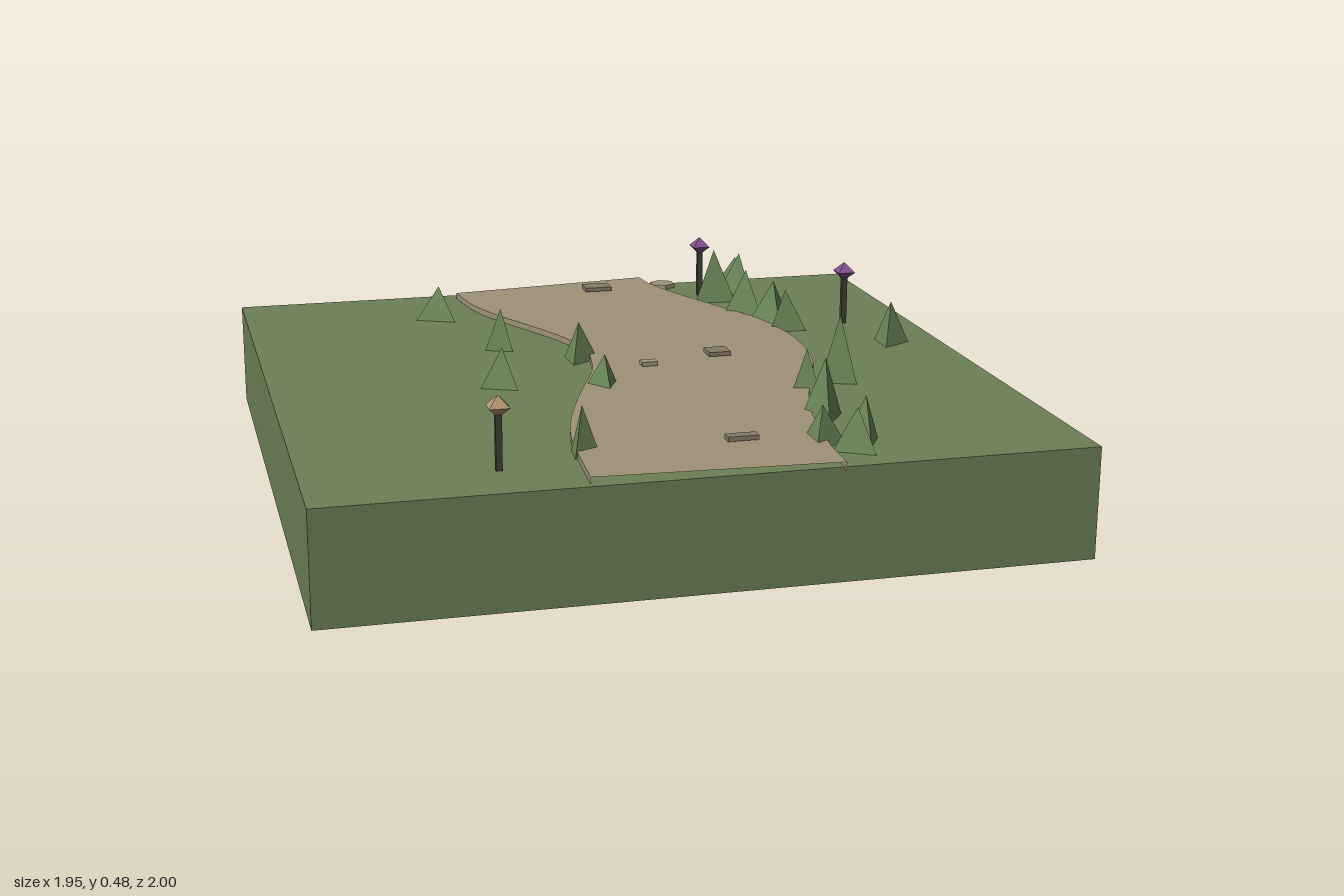
import * as THREE from 'three';

const paint = (name, color, extra = {}) => {
  const m = new THREE.MeshStandardMaterial({ color, flatShading: true, ...extra });
  m.name = name;
  return m;
};

const GROUND = 0.294, ROAD = 0.311;

export function createModel() {
  const model = new THREE.Group();
  model.name = 'pathTile';

  const grass = paint('grass green', 0x6b8056, { side: THREE.DoubleSide });
  const leaf = paint('tree green', 0x6b8758);
  const dirt = paint('path tan', 0xa09278, { side: THREE.DoubleSide });
  const stone = paint('stone brown', 0x857a66);
  const postDark = paint('post dark', 0x3c4030);
  const violet = paint('lamp violet', 0x80508c);
  const amber = paint('lamp amber', 0xae9270);

  const add = (parent, name, geometry, material, x = 0, y = 0, z = 0) => {
    const mesh = new THREE.Mesh(geometry, material);
    mesh.name = name;
    mesh.position.set(x, y, z);
    parent.add(mesh);
    return mesh;
  };

  // Ground block, open underneath
  const block = new THREE.BoxGeometry(1.946, GROUND, 1.952);
  const faces = Array.from(block.index.array);
  faces.splice(18, 6);
  block.setIndex(faces);
  block.clearGroups();
  add(model, 'ground', block, grass, -0.003, GROUND / 2, 0.009);

  // Winding path: flat ribbon with a thin skirt along both sides
  const edge = (points) => new THREE.CatmullRomCurve3(points.map(([x, z]) => new THREE.Vector3(x, ROAD, z)));
  const left = edge([[-0.31, -0.925], [-0.29, -0.765], [-0.24, -0.617], [-0.155, -0.437], [-0.1, -0.305],
    [-0.07, -0.17], [-0.08, -0.04], [-0.107, 0.08], [-0.155, 0.2], [-0.2, 0.32], [-0.26, 0.505],
    [-0.29, 0.64], [-0.305, 0.8], [-0.315, 0.967]]);
  const right = edge([[0.303, -1], [0.31, -0.925], [0.35, -0.79], [0.41, -0.64], [0.46, -0.525], [0.515, -0.395],
    [0.545, -0.235], [0.55, -0.13], [0.54, 0], [0.52, 0.11], [0.475, 0.23], [0.41, 0.4], [0.36, 0.56],
    [0.33, 0.72], [0.308, 0.875], [0.303, 1]]);
  const steps = 28, positions = [], index = [];
  for (let i = 0; i <= steps; i++) {
    const a = left.getPoint(i / steps), b = right.getPoint(i / steps);
    positions.push(a.x, 0.288, a.z, a.x, ROAD, a.z, b.x, ROAD, b.z, b.x, 0.288, b.z);
    if (i === steps) break;
    for (let k = 0; k < 3; k++) {
      const p = i * 4 + k;
      index.push(p, p + 4, p + 1, p + 1, p + 4, p + 5);
    }
  }
  const ribbon = new THREE.BufferGeometry();
  ribbon.setAttribute('position', new THREE.Float32BufferAttribute(positions, 3));
  ribbon.setIndex(index);
  const path = ribbon.toNonIndexed();
  path.computeVertexNormals();
  add(model, 'path', path, dirt);

  // Flat stones on the path: x, z, width, depth
  const slabs = [[0.127, -0.855, 0.083, 0.06], [0.277, -0.013, 0.063, 0.06],
    [0.06, 0.058, 0.045, 0.03], [0.11, 0.777, 0.08, 0.031]];
  slabs.forEach(([x, z, w, d], i) =>
    add(model, 'slab', new THREE.BoxGeometry(w, 0.012, d), i === 2 ? dirt : stone, x, 0.321, z));
  add(model, 'pebble', new THREE.CylinderGeometry(0.04, 0.042, 0.012, 6), dirt, 0.36, 0.3, -0.927);

  // Three-sided trees: x, z, radius, height, turn
  const trees = [
    [-0.405, -0.68, 0.07, 0.1, -1.5], [-0.29, -0.283, 0.047, 0.12, -1.46], [-0.1, -0.11, 0.056, 0.11, 1.62],
    [-0.36, 0.105, 0.06, 0.11, -1.5], [-0.1, 0.205, 0.056, 0.1, 0.08], [-0.284, 0.74, 0.043, 0.125, 1.49],
    [0.819, -0.082, 0.057, 0.123, 1.57], [0.584, -0.862, 0.07, 0.1, -1.7], [0.577, -0.798, 0.066, 0.125, -1.7],
    [0.469, -0.713, 0.073, 0.16, 3.05], [0.51, -0.504, 0.07, 0.14, -1.57], [0.566, -0.405, 0.07, 0.125, 0],
    [0.573, -0.31, 0.065, 0.12, 3.14], [0.54, 0.267, 0.058, 0.185, -1.42], [0.418, 0.353, 0.046, 0.12, -1.38],
    [0.388, 0.588, 0.06, 0.16, -0.1], [0.31, 0.796, 0.06, 0.1, 1.57], [0.418, 0.807, 0.05, 0.12, 0],
    [0.376, 0.865, 0.063, 0.11, -1.57],
  ];
  for (const [x, z, r, h, turn] of trees) {
    add(model, 'tree', new THREE.ConeGeometry(r, h, 3), leaf, x, GROUND + h / 2, z).rotation.y = turn;
  }

  // Lamp posts with gem-shaped heads
  const lamps = [[-0.503, 0.812, amber], [0.445, -0.79, violet], [0.767, -0.341, violet]];
  for (const [x, z, glow] of lamps) {
    const lamp = new THREE.Group();
    lamp.name = 'lamp';
    lamp.position.set(x, GROUND, z);
    add(lamp, 'post', new THREE.BoxGeometry(0.016, 0.142, 0.016), postDark, 0, 0.071, 0);
    const head = add(lamp, 'lampHead', new THREE.OctahedronGeometry(0.036), glow, 0, 0.158, 0);
    head.rotation.y = Math.PI / 4;
    head.scale.y = 0.78;
    model.add(lamp);
  }
  return model;
}
